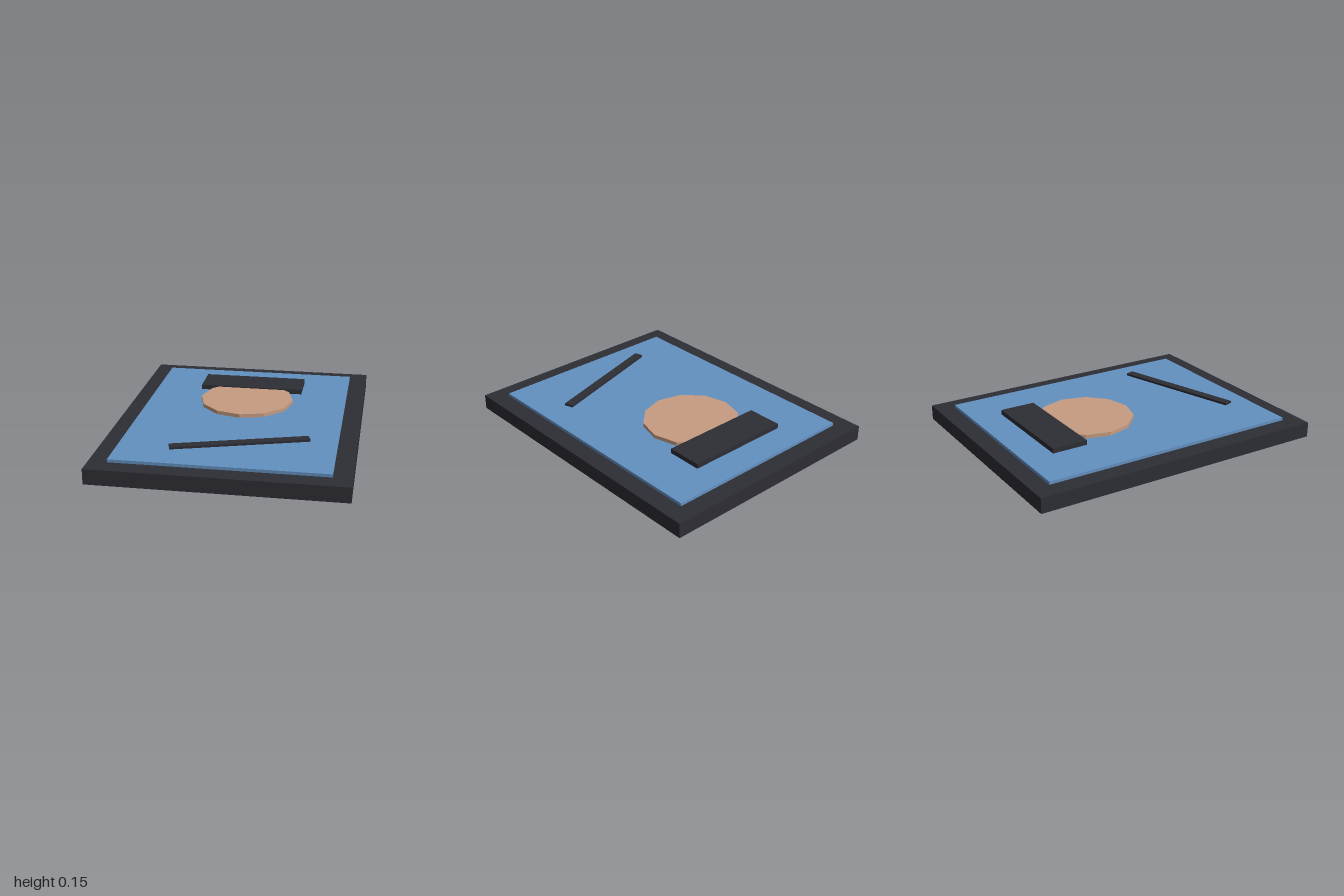
import * as THREE from 'three';

export function createModel() {
  const model = new THREE.Group();
  const material = (name, color) => {
    const m = new THREE.MeshStandardMaterial({ color, flatShading: true });
    m.name = name;
    return m;
  };
  const charcoal = material('charcoal', 0x2d2d35);
  const blue = material('blue', 0x6491c1);
  const tan = material('tan', 0xc69c81);

  // Places a part with its underside at y = bottom
  const add = (name, geometry, mat, x, bottom, z, height) => {
    const mesh = new THREE.Mesh(geometry, mat);
    mesh.name = name;
    mesh.position.set(x, bottom + height / 2, z);
    model.add(mesh);
    return mesh;
  };
  const slab = (name, mat, [w, h, d], x, bottom, z) =>
    add(name, new THREE.BoxGeometry(w, h, d), mat, x, bottom, z, h);

  // Backing frame and the raised panel on it
  slab('frame', charcoal, [1.6, 0.1, 2], 0, 0, 0);
  slab('panel', blue, [1.36, 0.02, 1.76], 0, 0.1, 0);

  // Twelve-sided face disc with a hair block over its upper edge
  add('face', new THREE.CylinderGeometry(0.32, 0.32, 0.025, 12), tan, 0, 0.12, -0.24, 0.025);
  slab('hair', charcoal, [0.72, 0.032, 0.24], 0, 0.12, -0.56);

  // Slanted bar floating just above the panel
  slab('slantedBar', charcoal, [0.88, 0.015, 0.06], 0.08, 0.139, 0.56).rotation.y = 0.3;

  return model;
}
